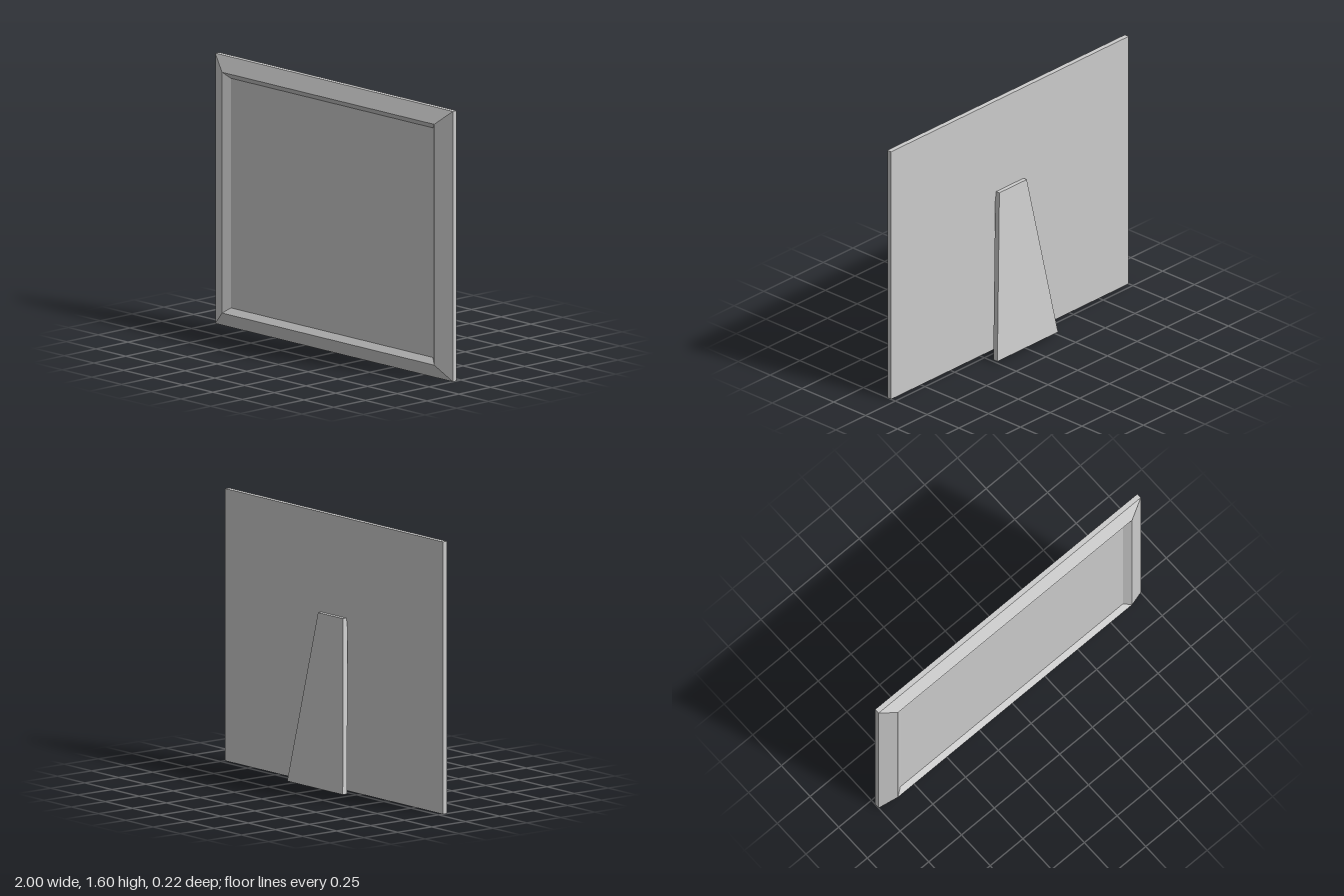
import * as THREE from 'three';

const material = new THREE.MeshStandardMaterial({ color: 0xcccccc, flatShading: true });

const W = 1, H = 1.595; // half width and full height of the frame
const BACK = 0.033, PANEL = 0.08;

// Mitred rectangular moulding: each section point is [inset x, inset y, z]
function mouldingGeometry(section) {
  const corners = [[-1, -1], [1, -1], [1, 1], [-1, 1]];
  const point = ([ix, iy, z], [sx, sy]) => [sx * (W - ix), H / 2 + sy * (H / 2 - iy), z];
  const positions = [];
  for (let i = 0; i < section.length - 1; i++) {
    for (let k = 0; k < 4; k++) {
      const c0 = corners[k], c1 = corners[(k + 1) % 4];
      const a = point(section[i], c0), b = point(section[i], c1);
      const c = point(section[i + 1], c1), d = point(section[i + 1], c0);
      positions.push(...a, ...b, ...c, ...a, ...c, ...d);
    }
  }
  const geometry = new THREE.BufferGeometry();
  geometry.setAttribute('position', new THREE.Float32BufferAttribute(positions, 3));
  geometry.computeVertexNormals();
  return geometry;
}

// Leaning easel leg: side profile (z, y) extruded across x, widening toward the foot
function standGeometry() {
  const top = 1.01, foot = 0.015, topHalf = 0.115, footHalf = 0.255;
  const profile = new THREE.Shape([
    [-0.107, foot], [-0.075, foot], [BACK, 0.945], [BACK, top], [0.008, top],
  ].map(([z, y]) => new THREE.Vector2(z, y)));
  const geometry = new THREE.ExtrudeGeometry(profile, { depth: 2, bevelEnabled: false });
  geometry.translate(0, 0, -1).rotateY(-Math.PI / 2);
  const p = geometry.attributes.position;
  for (let i = 0; i < p.count; i++) {
    const t = (top - p.getY(i)) / (top - foot);
    p.setX(i, p.getX(i) * THREE.MathUtils.lerp(topHalf, footHalf, t));
  }
  geometry.computeVertexNormals();
  return geometry;
}

export function createModel() {
  const group = new THREE.Group();
  group.name = 'pictureFrame';
  const add = (name, geometry) => {
    const mesh = new THREE.Mesh(geometry, material);
    mesh.name = name;
    group.add(mesh);
    return mesh;
  };

  // Bevelled moulding: back, outer edge, outer bevel, inner bevel
  add('frameMoulding', mouldingGeometry([
    [0.15, 0.12, BACK],
    [0, 0, BACK],
    [0, 0, 0.063],
    [0.107, 0.087, 0.11],
    [0.15, 0.12, PANEL],
  ]));

  // Recessed picture panel, flush with the back
  const panel = add('picturePanel', new THREE.BoxGeometry(2 * (W - 0.15), H - 0.24, PANEL - BACK));
  panel.position.set(0, H / 2, (PANEL + BACK) / 2);

  // Rear support leg
  add('stand', standGeometry());
  return group;
}
